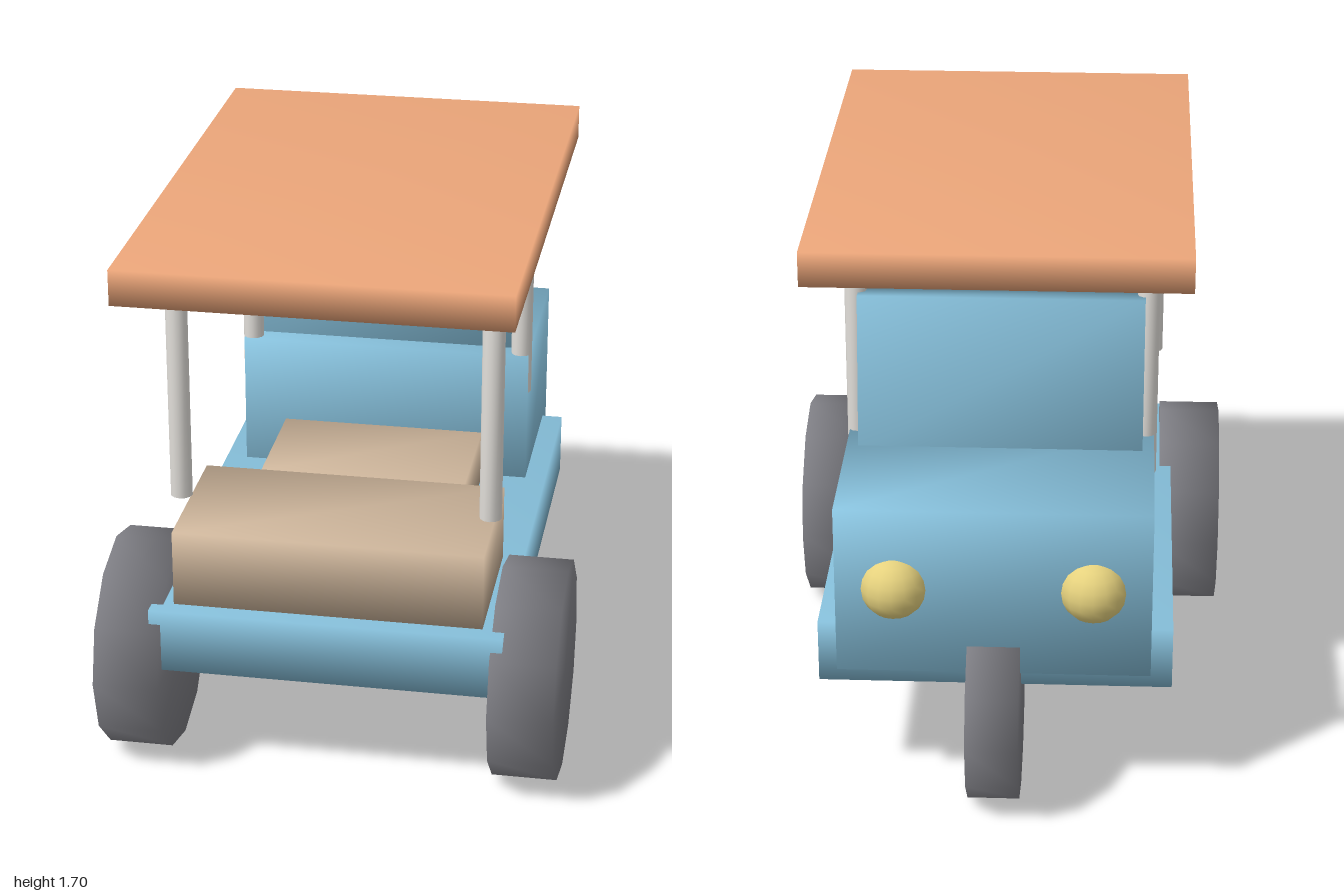
import * as THREE from 'three';
import { mergeVertices } from 'three/addons/utils/BufferGeometryUtils.js';

const material = (color) => new THREE.MeshStandardMaterial({ color });

// Weld corners so that normals are averaged over the edges (soft shading)
function soften(geometry) {
  geometry.deleteAttribute('uv');
  geometry.deleteAttribute('normal');
  const welded = mergeVertices(geometry, 1e-4);
  welded.computeVertexNormals();
  return welded;
}

export function createModel() {
  const model = new THREE.Group();
  model.name = 'threeWheeler';

  const blue = material(0x86bfda);
  const orange = material(0xeca67a);
  const tan = material(0xcdb59b);
  const rubber = material(0x808086);
  const yellow = material(0xe6d27e);
  const pale = material(0xe2dfda);

  function add(name, geometry, mat, x, y, z) {
    const mesh = new THREE.Mesh(geometry, mat);
    mesh.name = name;
    mesh.position.set(x, y, z);
    model.add(mesh);
    return mesh;
  }

  // Box given by its half width and its y and z ranges
  function slab(name, mat, halfX, y0, y1, z0, z1) {
    const geometry = soften(new THREE.BoxGeometry(halfX * 2, y1 - y0, z1 - z0));
    return add(name, geometry, mat, 0, (y0 + y1) / 2, (z0 + z1) / 2);
  }

  // Twelve-sided wheel with its axle along x
  function wheel(name, radius, width, x, z) {
    const geometry = new THREE.CylinderGeometry(radius, radius, width, 12);
    geometry.rotateZ(Math.PI / 2);
    add(name, soften(geometry), rubber, x, radius, z);
  }

  // Body
  slab('floor', blue, 0.525, 0.365, 0.56, -0.735, 0.84);
  slab('cab', blue, 0.46, 0.46, 0.985, -0.835, -0.245);
  slab('roof', orange, 0.56, 1.59, 1.695, -0.64, 1.0);

  // Seats
  slab('rearSeat', tan, 0.46, 0.56, 0.795, 0.32, 0.785);
  slab('driverSeat', tan, 0.32, 0.56, 0.725, -0.21, 0.18);

  // Windshield, leaning back over the cab
  const windshield = slab('windshield', blue, 0.425, 0.955, 1.438, -0.38, -0.28);
  windshield.rotation.x = 0.14;

  // Wheels
  wheel('noseWheel', 0.29, 0.155, 0, -0.71);
  for (const side of [-1, 1]) {
    const label = side > 0 ? 'left' : 'right';
    wheel(label + 'RearWheel', 0.33, 0.195, side * 0.5875, 0.575);

    // Roof posts
    const post = () => soften(new THREE.CylinderGeometry(0.033, 0.033, 0.735, 12));
    add(label + 'RearPost', post(), pale, side * 0.46, 1.2225, 0.645);
    add(label + 'CabPost', post(), pale, side * 0.435, 1.2225, -0.278);

    // Headlights
    const lamp = new THREE.SphereGeometry(0.1, 16, 10);
    add(label + 'Headlight', lamp, yellow, side * 0.29, 0.73, -0.805);
  }

  return model;
}
